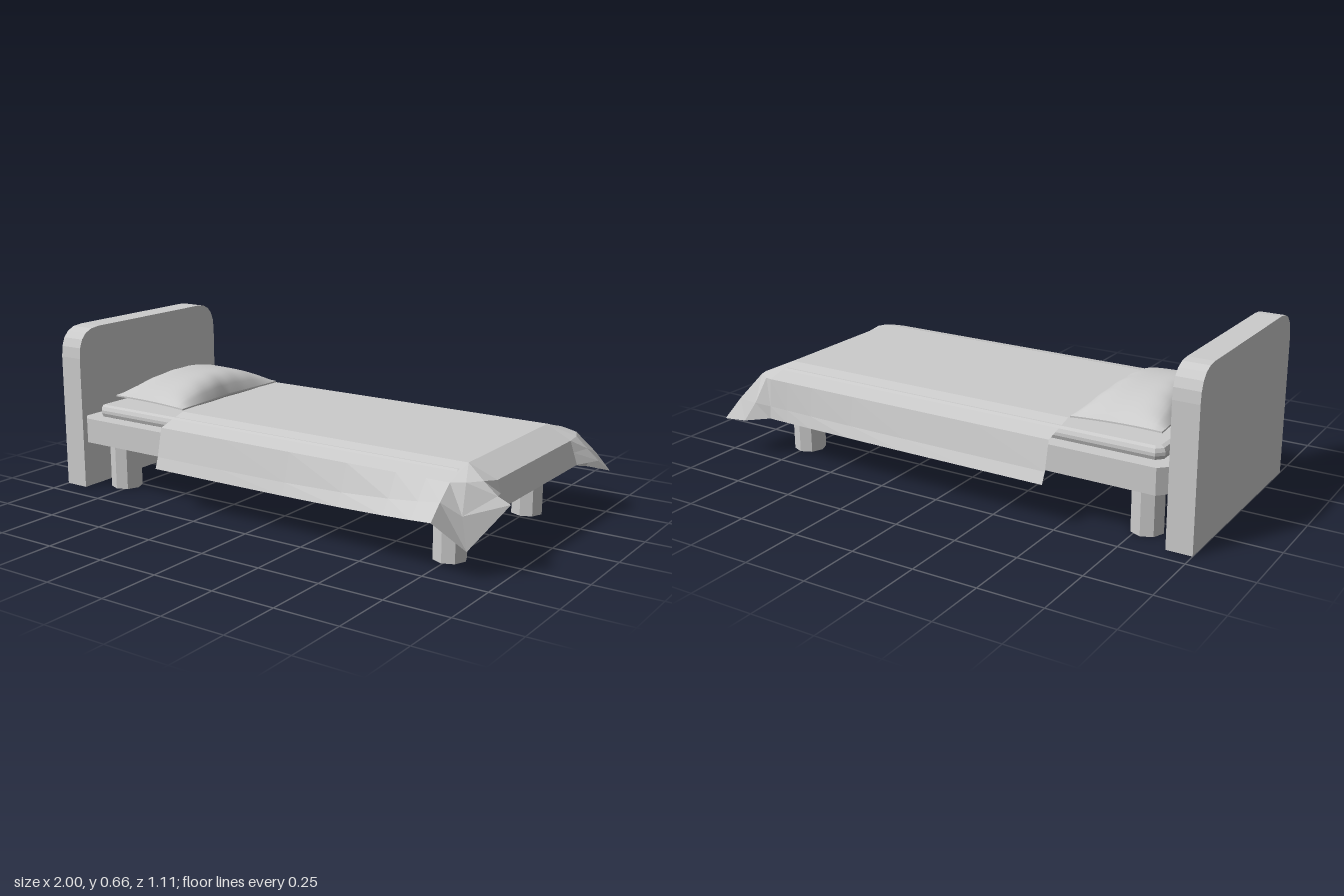
import * as THREE from 'three';

const material = new THREE.MeshStandardMaterial({ color: 0xcccccc });
const faceted = new THREE.MeshStandardMaterial({ color: 0xcccccc, flatShading: true });
const cloth = new THREE.MeshStandardMaterial({ color: 0xcccccc, flatShading: true, side: THREE.DoubleSide });

function add(group, name, geometry, mat = faceted) {
  const mesh = new THREE.Mesh(geometry, mat);
  mesh.name = name;
  group.add(mesh);
  return mesh;
}

// Horizontal slab with cut corners and an optional bevel, given by its outer limits
function slab(x0, x1, y0, y1, z0, z1, cut, bevel = 0) {
  const a = x0 + bevel, b = x1 - bevel, c = -z1 + bevel, d = -z0 - bevel;
  const shape = new THREE.Shape([
    [a + cut, c], [b - cut, c], [b, c + cut], [b, d - cut],
    [b - cut, d], [a + cut, d], [a, d - cut], [a, c + cut],
  ].map(([x, y]) => new THREE.Vector2(x, y)));
  return new THREE.ExtrudeGeometry(shape, {
    depth: y1 - y0 - 2 * bevel, bevelEnabled: bevel > 0,
    bevelSize: bevel, bevelThickness: bevel, bevelSegments: 2,
  }).rotateX(-Math.PI / 2).translate(0, y0 + bevel, 0);
}

// Upright board with rounded top corners
function headboardGeometry() {
  const s = new THREE.Shape();
  s.moveTo(-0.437, 0);
  s.lineTo(0.415, 0);
  s.lineTo(0.415, 0.54);
  s.bezierCurveTo(0.415, 0.62, 0.38, 0.66, 0.30, 0.66);
  s.lineTo(-0.33, 0.66);
  s.bezierCurveTo(-0.40, 0.66, -0.437, 0.62, -0.437, 0.54);
  return new THREE.ExtrudeGeometry(s, { depth: 0.1, bevelEnabled: false, curveSegments: 5 })
    .rotateY(-Math.PI / 2).translate(-0.9, 0, 0);
}

// Cushion: a thin box swollen in the middle, with edges drawn in between the corners
function pillowGeometry() {
  const g = new THREE.BoxGeometry(2, 2, 2, 20, 1, 28);
  const p = g.attributes.position;
  for (let i = 0; i < p.count; i++) {
    const u = p.getX(i), side = p.getY(i), v = p.getZ(i);
    const pinch = 1 - (u < 0 ? 0.22 : 0.12) * Math.abs(u) * Math.pow(1 - Math.abs(v), 1.5);
    const swell = Math.pow(Math.max(0, 1 - u ** 4), 0.75) * Math.pow(Math.max(0, 1 - v * v), 0.75);
    const crease = 1 - 0.12 * Math.abs(u) ** 3 * Math.cos(v * 9) ** 2;
    const height = side > 0 ? 0.082 * swell * crease : -0.024 * swell;
    p.setXYZ(i,
      -0.645 + 0.178 * u * pinch,
      0.37 - 0.005 * u + height + side * 0.003,
      -0.018 + 0.312 * v * (1 - 0.04 * (1 - u * u)));
  }
  g.computeVertexNormals();
  return g;
}

// Draped sheet: stations run down one side, round the foot and back up the other.
// Each station goes from the flat top over the shoulder to the hem.
function blanketGeometry() {
  const xs = [-0.46, -0.15, 0.15, 0.4, 0.6, 0.72, 0.81];
  const left = xs.map((x) => {
    const t = Math.pow((x + 0.46) / 1.27, 4);
    return [[x, 0.36, 0.3], [x, 0.322, 0.43], [x, 0.21 + 0.06 * t, 0.455 + 0.04 * t],
      [x, 0.165 + 0.05 * t, 0.47 + 0.085 * t]];
  });
  const right = xs.map((x) => {
    const t = Math.pow((x + 0.46) / 1.27, 3);
    return [[x, 0.36, -0.33], [x, 0.322, -0.47], [x, 0.21, -0.495 + 0.015 * t],
      [x, 0.168 - 0.008 * t, -0.515 + 0.03 * t]];
  }).reverse();
  const leftCorner = [
    [[0.81, 0.36, 0.3], [0.86, 0.325, 0.41], [0.87, 0.22, 0.45], [0.89, 0.1, 0.45]],
    [[0.81, 0.36, 0.3], [0.9, 0.325, 0.36], [0.95, 0.28, 0.355], [0.995, 0.255, 0.345]],
  ];
  const foot = [0.28, 0.08, -0.12, -0.33].map((z) =>
    [[0.81, 0.36, z], [0.91, 0.31, z], [0.925, 0.265, z], [0.94, 0.22, z]]);
  const rightCorner = [
    [[0.81, 0.36, -0.33], [0.91, 0.315, -0.385], [0.95, 0.27, -0.4], [0.985, 0.22, -0.43]],
    [[0.81, 0.36, -0.33], [0.89, 0.32, -0.43], [0.94, 0.23, -0.51], [0.985, 0.15, -0.555]],
    [[0.81, 0.36, -0.33], [0.84, 0.32, -0.46], [0.87, 0.22, -0.5], [0.89, 0.155, -0.545]],
  ];
  const stations = [...left, ...leftCorner, ...foot, ...rightCorner, ...right];
  const out = [];
  const quad = (a, b, c, d) => out.push(...a, ...b, ...c, ...a, ...c, ...d);
  for (let i = 0; i < stations.length - 1; i++) {
    const s = stations[i], n = stations[i + 1];
    for (let j = 0; j < 3; j++) quad(s[j], s[j + 1], n[j + 1], n[j]);
  }
  // Flat top between the two sides
  for (let i = 0; i < xs.length - 1; i++) {
    const k = stations.length - 1 - i;
    quad(stations[i][0], stations[i + 1][0], stations[k - 1][0], stations[k][0]);
  }
  const g = new THREE.BufferGeometry();
  g.setAttribute('position', new THREE.Float32BufferAttribute(out, 3));
  g.computeVertexNormals();
  return g;
}

export function createModel() {
  const bed = new THREE.Group();
  bed.name = 'bed';

  add(bed, 'headboard', headboardGeometry());
  add(bed, 'frame', slab(-0.9, 0.87, 0.2, 0.3, -0.46, 0.425, 0.035));
  add(bed, 'mattress', slab(-0.86, 0.83, 0.295, 0.347, -0.405, 0.37, 0.015, 0.02));

  // Eight-sided legs
  for (const x of [-0.78, 0.745]) {
    for (const z of [0.295, -0.325]) {
      const leg = add(bed, 'leg', new THREE.CylinderGeometry(0.063, 0.063, 0.2, 8));
      leg.position.set(x, 0.1, z);
    }
  }

  add(bed, 'pillow', pillowGeometry(), material);
  add(bed, 'blanket', blanketGeometry(), cloth);
  return bed;
}
